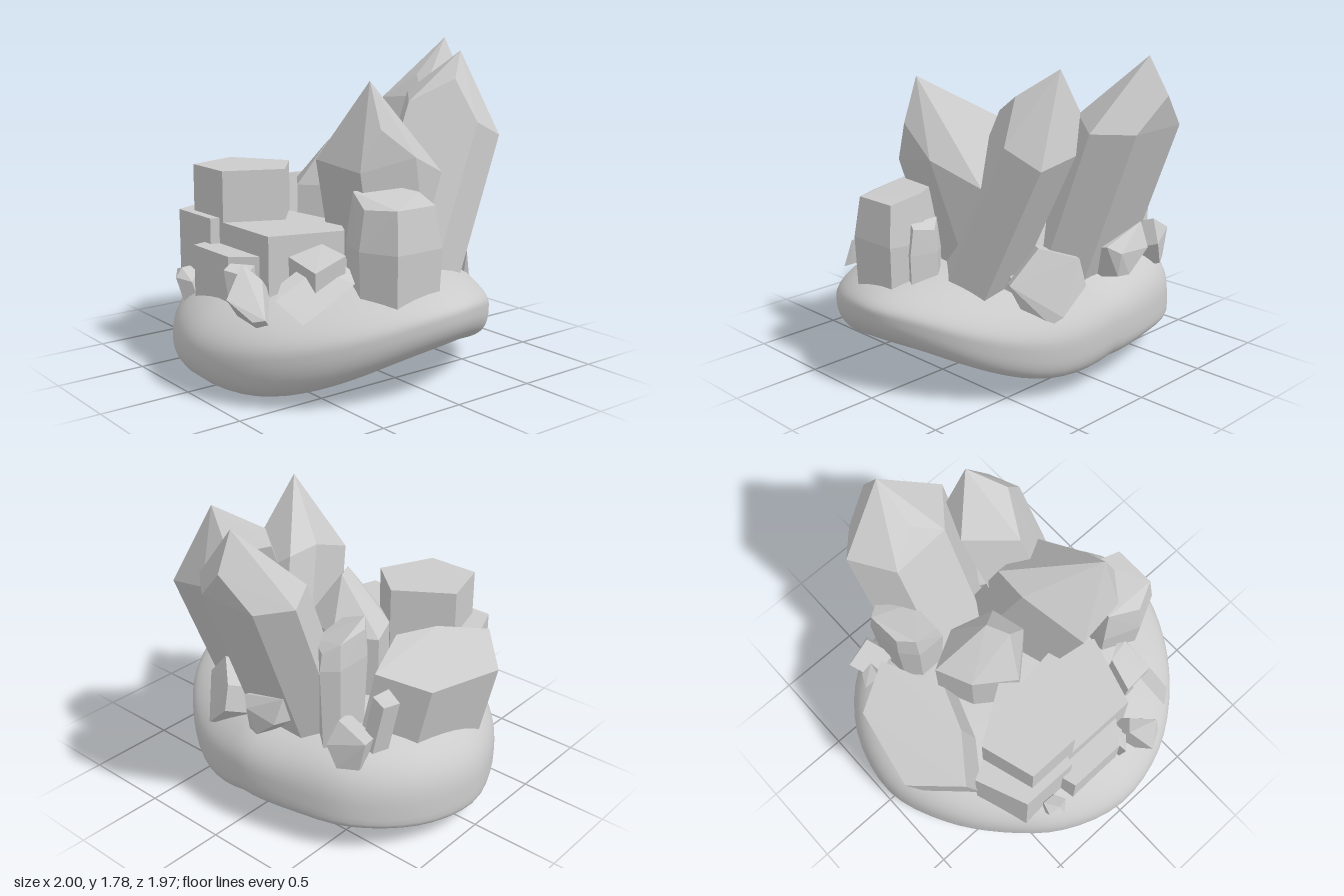
import * as THREE from 'three';
import { ConvexGeometry } from 'three/addons/geometries/ConvexGeometry.js';
import { mergeVertices } from 'three/addons/utils/BufferGeometryUtils.js';

const facetMaterial = new THREE.MeshStandardMaterial({ color: 0xcccccc, flatShading: true });
const rockMaterial = new THREE.MeshStandardMaterial({ color: 0xcccccc });

// Prism hull: a ring of shoulder corners, swept along "drop" into the rock, closed by optional tip points
function crystal(name, ring, drop, tips = []) {
  const d = new THREE.Vector3(...drop);
  const top = ring.map((p) => new THREE.Vector3(...p));
  const points = [...top, ...top.map((p) => p.clone().add(d)), ...tips.map((p) => new THREE.Vector3(...p))];
  const mesh = new THREE.Mesh(new ConvexGeometry(points), facetMaterial);
  mesh.name = name;
  return mesh;
}

// Upright flat-topped slab from a plan outline of [x, z] corners
const slab = (name, plan, top, bottom) =>
  crystal(name, plan.map(([x, z]) => [x, top, z]), [0, bottom - top, 0]);

// Barrel-shaped stub: the top ring plus a wider ring lower down
function stub(name, ring, midY, baseY, bulge, baseScale) {
  const cx = ring.reduce((s, p) => s + p[0], 0) / ring.length;
  const cz = ring.reduce((s, p) => s + p[2], 0) / ring.length;
  const level = (y, k) => ring.map(([x, , z]) => new THREE.Vector3(cx + (x - cx) * k, y, cz + (z - cz) * k));
  const top = ring.map((p) => new THREE.Vector3(...p));
  const mesh = new THREE.Mesh(new ConvexGeometry([...top, ...level(midY, bulge), ...level(baseY, baseScale)]), facetMaterial);
  mesh.name = name;
  return mesh;
}

// Smooth bent pebble: plan radius per direction, arched front lip, blunt back and left, deep right lobe
function rock() {
  const radii = [0.82, 0.82, 0.84, 0.9, 0.98, 0.97, 0.97, 0.99, 0.995, 0.95, 0.91, 0.93, 0.985, 0.98, 0.93, 0.84];
  const outline = new THREE.CatmullRomCurve3(radii.map((r, i) => {
    const a = (i / radii.length) * Math.PI * 2;
    return new THREE.Vector3(r * Math.cos(a), 0, r * Math.sin(a));
  }), true);
  let g = new THREE.SphereGeometry(1, 64, 48);
  g.deleteAttribute('uv');
  g.deleteAttribute('normal');
  g = mergeVertices(g, 1e-4);
  const pos = g.attributes.position;
  for (let i = 0; i < pos.count; i++) {
    const px = pos.getX(i), py = pos.getY(i), pz = pos.getZ(i);
    const turn = (Math.atan2(pz, px) / (2 * Math.PI) + 1) % 1;
    const s = Math.abs(py) < 1e-6 ? 1 : Math.pow(Math.min(1, Math.hypot(px, pz)), 0.8);
    const edge = outline.getPoint(turn);
    const x = edge.x * s, z = edge.z * s;
    const arch = x * x * Math.max(z, 0) * (0.28 + 0.2 * x);
    const middle = 0.36 + 0.04 * x - 0.1 * x * x + 0.135 * z - 0.025 * z * z - arch;
    const p = py > 0 ? 2.7 + 0.2 * x - 0.4 * z : 2.5 + 0.5 * x - 0.8 * Math.min(z, 0);
    const h = Math.pow(1 - Math.pow(s, p), 1 / p);
    const rise = 0.3 - 0.14 * z - 0.08 * x * z;
    const lobe = 0.22 * x * x * (0.7 + 1.4 * z);
    const depth = 0.25 - 0.06 * x + 0.06 * z + lobe;
    pos.setXYZ(i, x, Math.max(0, middle + (py > 0 ? rise : -depth) * h), z);
  }
  g.computeVertexNormals();
  const mesh = new THREE.Mesh(g, rockMaterial);
  mesh.name = 'rockBase';
  return mesh;
}

export function createModel() {
  const group = new THREE.Group();
  group.name = 'crystalCluster';
  group.add(rock());

  // Three tall pointed crystals
  group.add(crystal('tallCrystalLeft',
    [[0.95, 1.41, 0.05], [0.95, 1.41, -0.3], [0.8, 1.43, -0.44], [0.56, 1.43, -0.29], [0.57, 1.46, 0.05], [0.8, 1.42, 0.23]],
    [-0.38, -1, 0], [[0.89, 1.78, -0.11], [1.0, 1.59, -0.13], [0.66, 1.57, -0.1]]));
  group.add(crystal('tallCrystalFront',
    [[0.74, 1.27, 0.51], [0.53, 1.36, 0.55], [0.25, 1.47, 0.3], [0.45, 1.5, 0.06], [0.67, 1.5, 0.15], [0.75, 1.31, 0.27]],
    [-0.4, -0.88, 0.07], [[0.65, 1.73, 0.28], [0.48, 1.59, 0.42]]));
  group.add(crystal('tallCrystalRight',
    [[0.04, 1.22, 0.6], [0.32, 1.1, 0.5], [0.24, 1.35, 0.13], [0.04, 1.36, 0.12], [-0.33, 1.2, 0.23], [-0.28, 1.16, 0.54]],
    [0.22, -0.75, -0.12], [[-0.18, 1.62, 0.49], [-0.18, 1.38, 0.58]]));

  // Central pointed crystal
  group.add(crystal('centreCrystal',
    [[-0.2, 1, -0.12], [-0.05, 1, -0.33], [0.15, 1, -0.42], [0.27, 1, -0.2], [0.2, 1, 0.05], [0, 1, 0.1]],
    [0, -0.5, 0], [[0.08, 1.26, -0.1], [-0.04, 1.25, -0.04]]));

  // Stepped flat-topped slabs
  group.add(slab('topSlab', [[-0.67, -0.45], [-0.37, -0.54], [-0.17, -0.24], [-0.36, -0.01], [-0.67, -0.15]], 1.12, 0.5));
  group.add(slab('backStepSlab', [[-0.72, -0.53], [-0.43, -0.65], [-0.3, -0.4], [-0.3, -0.1], [-0.72, -0.2]], 0.86, 0.35));
  group.add(slab('sideStepSlab', [[-0.8, -0.24], [-0.8, 0.1], [-0.6, 0.25], [-0.5, 0], [-0.6, -0.3]], 0.72, 0.35));
  group.add(slab('frontStepSlab', [[-0.67, -0.2], [-0.67, 0.28], [-0.27, 0.4], [-0.15, 0.2], [-0.2, -0.2]], 0.84, 0.4));
  group.add(crystal('backSlab',
    [[-0.44, 0.94, -0.72], [-0.2, 0.87, -0.95], [0.26, 0.9, -0.86], [0.4, 0.97, -0.6], [0.04, 1.0, -0.45], [-0.2, 0.99, -0.54]],
    [0, -0.55, 0.13]));

  // Barrel-shaped stubs
  group.add(stub('frontStub',
    [[-0.35, 1.0, 0.66], [-0.27, 1.01, 0.82], [-0.02, 1.01, 0.82], [0.02, 1.05, 0.65], [-0.05, 1.07, 0.48], [-0.28, 1.06, 0.48]],
    0.79, 0.48, 1.18, 1.12));
  group.add(stub('frontStubSplinter',
    [[0.02, 0.9, 0.72], [0.06, 0.88, 0.74], [0.09, 0.86, 0.62], [0.04, 0.91, 0.56]], 0.74, 0.45, 1.3, 1.2));
  group.add(stub('backStub',
    [[0.36, 1.18, -0.5], [0.56, 1.17, -0.51], [0.62, 1.12, -0.44], [0.5, 1.1, -0.28], [0.28, 1.14, -0.28], [0.28, 1.2, -0.43]],
    1.03, 0.5, 1.12, 0.95));

  // Small chunks around the rim
  group.add(crystal('leftFrontChunk',
    [[0.74, 0.6, 0.16], [0.72, 0.46, 0.31], [0.68, 0.42, 0.36], [0.55, 0.5, 0.45], [0.52, 0.63, 0.5], [0.56, 0.8, 0.33], [0.7, 0.74, 0.17]],
    [-0.15, -0.04, -0.12]));
  group.add(crystal('leftChunk',
    [[0.74, 0.77, 0], [0.74, 0.85, -0.28], [0.8, 0.72, -0.27], [0.79, 0.6, -0.13], [0.77, 0.6, -0.06], [0.79, 0.73, -0.06]],
    [-0.2, -0.05, 0]));
  group.add(crystal('leftBackChunk',
    [[0.62, 0.78, -0.55], [0.68, 0.65, -0.52], [0.66, 0.52, -0.57], [0.6, 0.52, -0.67], [0.6, 0.69, -0.71]],
    [-0.15, -0.05, 0.06]));
  group.add(crystal('leftBackSplinter',
    [[0.36, 0.89, -0.66], [0.38, 0.85, -0.75], [0.46, 0.84, -0.71], [0.46, 0.88, -0.64]], [0.03, -0.35, 0.06]));
  group.add(crystal('rightFrontChunk',
    [[-0.78, 0.57, 0.5], [-0.69, 0.63, 0.42], [-0.61, 0.55, 0.55], [-0.63, 0.49, 0.62], [-0.7, 0.46, 0.62]],
    [0.27, 0.12, -0.02]));
  group.add(crystal('rightFrontSplinter',
    [[-0.6, 0.74, 0.36], [-0.42, 0.79, 0.4], [-0.38, 0.75, 0.55], [-0.58, 0.69, 0.56]], [0.02, -0.35, -0.03]));
  group.add(crystal('rightChunk',
    [[-0.92, 0.55, 0.27], [-0.78, 0.7, 0.2], [-0.71, 0.62, 0.28], [-0.8, 0.46, 0.44], [-0.85, 0.45, 0.4]],
    [0.13, -0.16, -0.06]));
  group.add(crystal('rightSplinter',
    [[-0.84, 0.66, 0.12], [-0.76, 0.7, 0.1], [-0.68, 0.68, 0.18], [-0.76, 0.63, 0.2]], [0.05, -0.3, 0]));
  group.add(crystal('rightBackPebble',
    [[-0.85, 0.52, -0.36], [-0.8, 0.55, -0.43], [-0.73, 0.56, -0.41], [-0.73, 0.54, -0.33], [-0.79, 0.5, -0.29]],
    [0.05, -0.18, 0.02], [[-0.81, 0.57, -0.36]]));

  return group;
}
